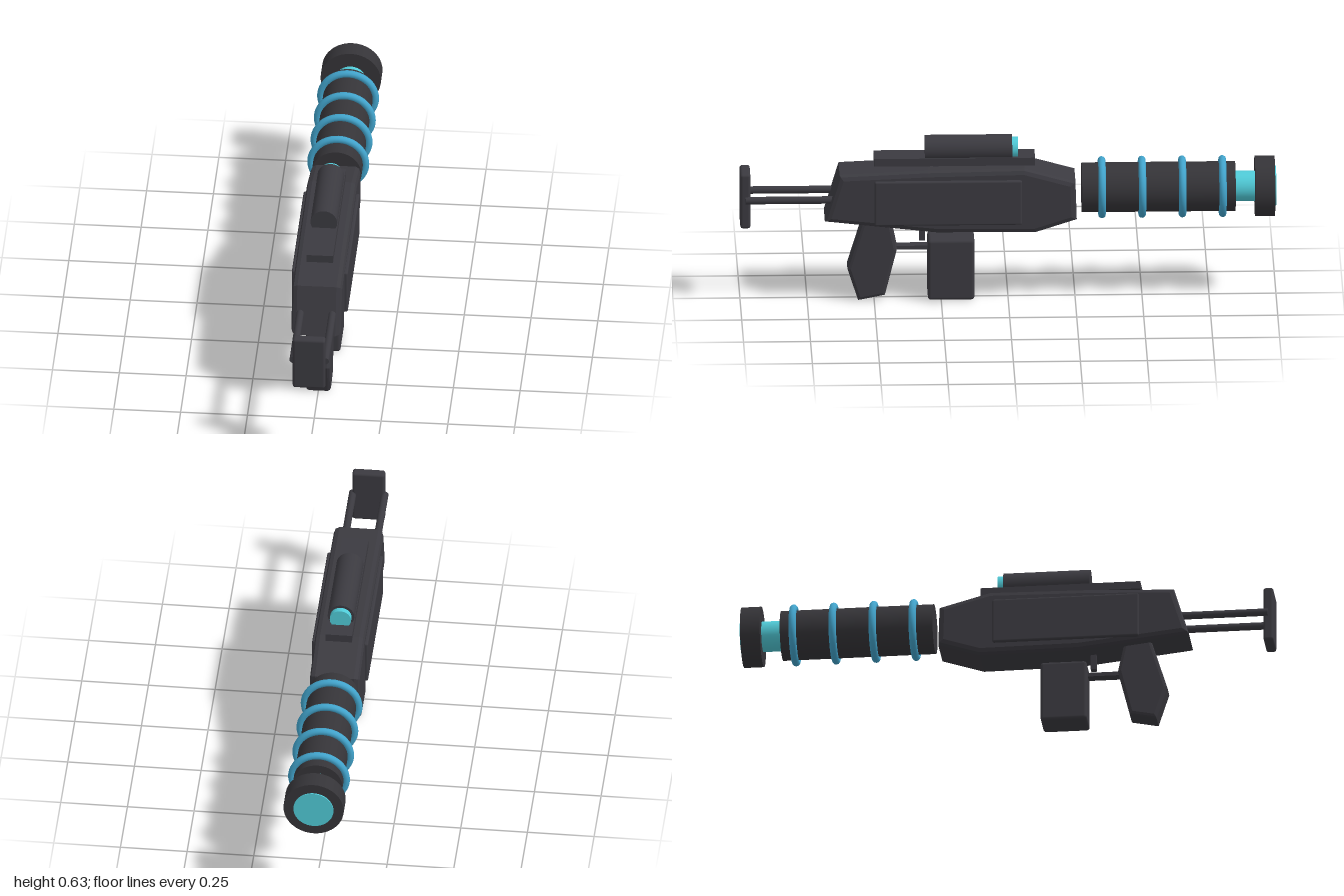
import * as THREE from 'three';
import { RoundedBoxGeometry } from 'three/addons/geometries/RoundedBoxGeometry.js';

export function createModel() {
  const group = new THREE.Group();
  const mat = (name, color) => {
    const m = new THREE.MeshStandardMaterial({ color });
    m.name = name;
    return m;
  };
  const charcoal = mat('charcoal', 0x3b3a40);
  const black = mat('barrel black', 0x353438);
  const blue = mat('ring blue', 0x42a4cc);
  const cyan = mat('glow cyan', 0x50cbd8);

  const add = (name, geo, material, x = 0, y = 0, z = 0) => {
    const mesh = new THREE.Mesh(geo, material);
    mesh.name = name;
    mesh.position.set(x, y, z);
    group.add(mesh);
    return mesh;
  };

  // Box given by its limits, optionally rounded
  const box = (name, [x0, x1], [y0, y1], [z0, z1], r = 0) => {
    const s = [x1 - x0, y1 - y0, z1 - z0];
    const geo = r ? new RoundedBoxGeometry(...s, 2, r) : new THREE.BoxGeometry(...s);
    return add(name, geo, charcoal, (x0 + x1) / 2, (y0 + y1) / 2, (z0 + z1) / 2);
  };

  // Cylinder lying along z
  const rod = (name, r, z0, z1, x, y, material, sides = 40) => {
    const geo = new THREE.CylinderGeometry(r, r, Math.abs(z1 - z0), sides).rotateX(Math.PI / 2);
    return add(name, geo, material, x, y, (z0 + z1) / 2);
  };

  // Side outline of [z, y] points, bevelled and extruded across x
  const slab = (name, points, halfWidth, bevel) => {
    const shape = new THREE.Shape(points.map(([z, y]) => new THREE.Vector2(z, y)));
    const geo = new THREE.ExtrudeGeometry(shape, {
      depth: 2 * (halfWidth - bevel), bevelEnabled: true, bevelSize: bevel,
      bevelThickness: bevel, bevelOffset: -bevel, bevelSegments: 2,
    });
    geo.translate(0, 0, -(halfWidth - bevel)).rotateY(-Math.PI / 2);
    return add(name, geo, charcoal);
  };

  // Receiver, side panels and grip
  slab('body', [
    [0.685, 0.325], [0.63, 0.508], [0.3, 0.522], [-0.06, 0.528], [-0.25, 0.475],
    [-0.255, 0.325], [-0.1, 0.275], [0.27, 0.278],
  ], 0.093, 0.02);
  for (const s of [-1, 1]) {
    const panel = box('sidePanel', [-0.015, 0.015], [0.314, 0.488], [-0.05, 0.5], 0.007);
    panel.position.x = s * 0.09;
  }
  slab('grip', [
    [0.54, 0.32], [0.44, 0.32], [0.415, 0.2], [0.46, 0.02], [0.56, 0], [0.6, 0.125],
  ], 0.047, 0.012);

  // Trigger, guard and magazine
  box('trigger', [-0.012, 0.012], [0.225, 0.3], [0.31, 0.332]);
  box('triggerGuard', [-0.02, 0.02], [0.192, 0.207], [0.29, 0.43]);
  box('magazine', [-0.061, 0.061], [0.004, 0.241], [0.126, 0.3], 0.012);

  // Stock
  for (const s of [-1, 1]) rod('stockRod', 0.014, 0.6, 0.98, s * 0.06, 0.405, charcoal, 16);
  box('buttPad', [-0.061, 0.061], [0.293, 0.507], [0.962, 1], 0.01);

  // Sight on its rail
  for (const z of [0.02, 0.25]) box('railMount', [-0.027, 0.027], [0.51, 0.54], [z - 0.03, z + 0.03]);
  box('rail', [-0.05, 0.05], [0.531, 0.561], [-0.1, 0.5]);
  rod('sight', 0.05, 0.31, -0.015, 0, 0.585, charcoal);
  rod('sightLens', 0.04, 0, -0.037, 0, 0.585, cyan);

  // Barrel with rings, glowing core and muzzle
  const axis = 0.425;
  rod('barrel', 0.093, -0.275, -0.848, 0, axis, black);
  for (const z of [-0.35, -0.5, -0.65, -0.8]) {
    add('barrelRing', new THREE.TorusGeometry(0.102, 0.014, 12, 48), blue, 0, axis, z);
  }
  rod('barrelCore', 0.057, -0.84, -0.93, 0, axis, cyan);
  rod('muzzle', 0.113, -0.921, -0.995, 0, axis, black);
  rod('muzzleLens', 0.075, -0.992, -1, 0, axis, cyan);

  return group;
}
